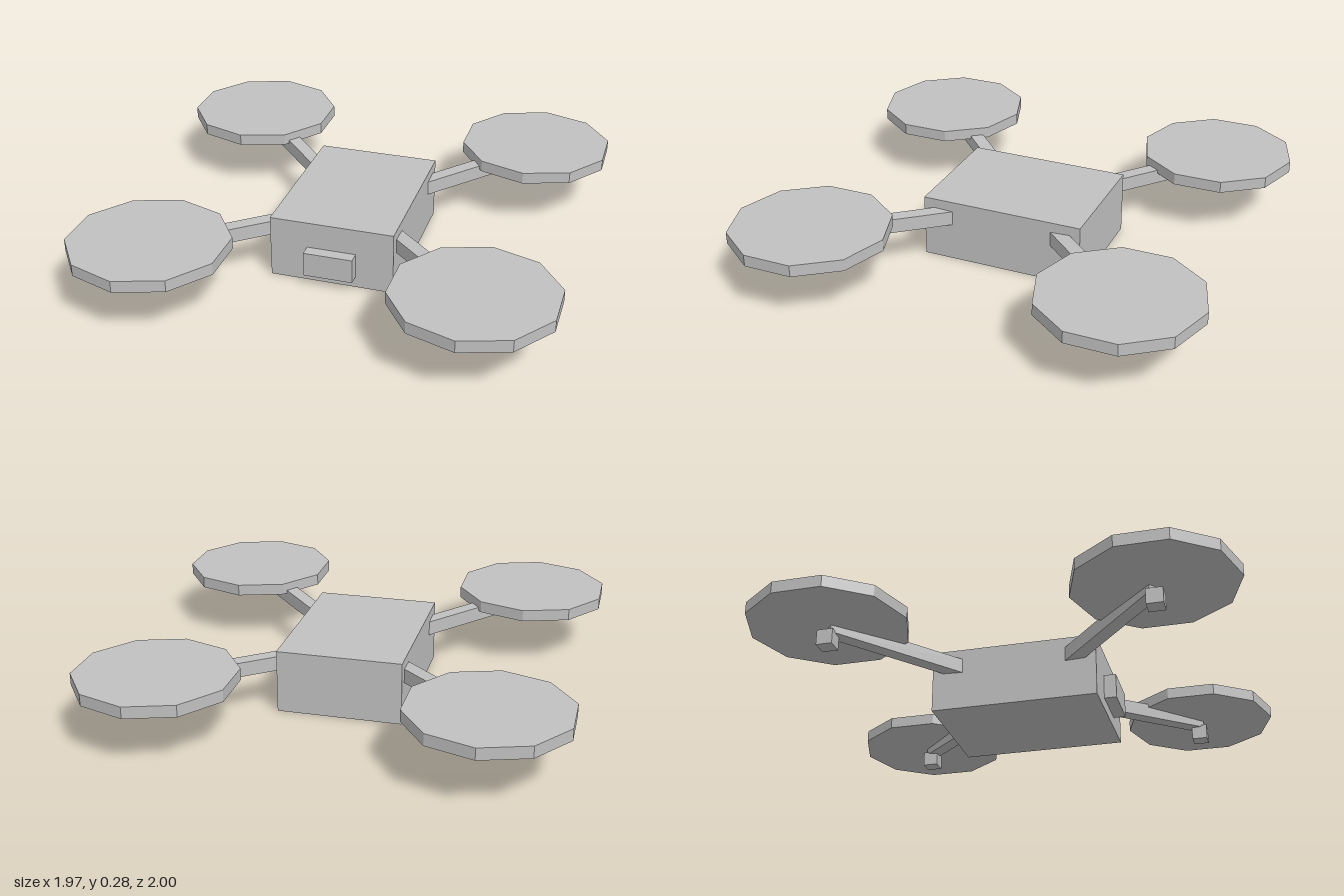
import * as THREE from 'three';

export function createModel() {
  const model = new THREE.Group();
  model.name = 'quadcopter';
  const grey = new THREE.MeshStandardMaterial({ color: 0xc0c0c0, flatShading: true });
  grey.name = 'light grey';

  const add = (name, geometry, x, y, z, parent = model) => {
    const mesh = new THREE.Mesh(geometry, grey);
    mesh.name = name;
    mesh.position.set(x, y, z);
    parent.add(mesh);
    return mesh;
  };

  // Central hull and the camera housing on its front
  add('body', new THREE.BoxGeometry(0.53, 0.27, 0.706), 0, 0.135, 0);
  add('cameraHousing', new THREE.BoxGeometry(0.21, 0.106, 0.07), 0, 0.103, 0.37);

  // Four diagonal arms, each with a motor block and a ten-sided rotor disc
  const hub = 0.665;
  const rotorGeometry = new THREE.CylinderGeometry(0.335, 0.335, 0.05, 10);
  const motorGeometry = new THREE.BoxGeometry(0.068, 0.066, 0.068);
  for (const [sx, sz, name] of [
    [1, 1, 'frontLeft'], [-1, 1, 'frontRight'],
    [1, -1, 'backLeft'], [-1, -1, 'backRight'],
  ]) {
    const unit = new THREE.Group();
    unit.name = name + 'RotorUnit';
    model.add(unit);

    // The arm rises gently from inside the hull to the hub
    const inner = new THREE.Vector3(sx * 0.17, 0.189, sz * 0.17);
    const outer = new THREE.Vector3(sx * hub, 0.229, sz * hub);
    const mid = inner.clone().lerp(outer, 0.5);
    const armGeometry = new THREE.BoxGeometry(0.06, 0.062, inner.distanceTo(outer));
    add('arm', armGeometry, mid.x, mid.y, mid.z, unit).lookAt(outer);

    add('motor', motorGeometry, sx * hub, 0.172, sz * hub, unit);
    add('rotorDisc', rotorGeometry, sx * hub, 0.252, sz * hub, unit);
  }
  return model;
}
